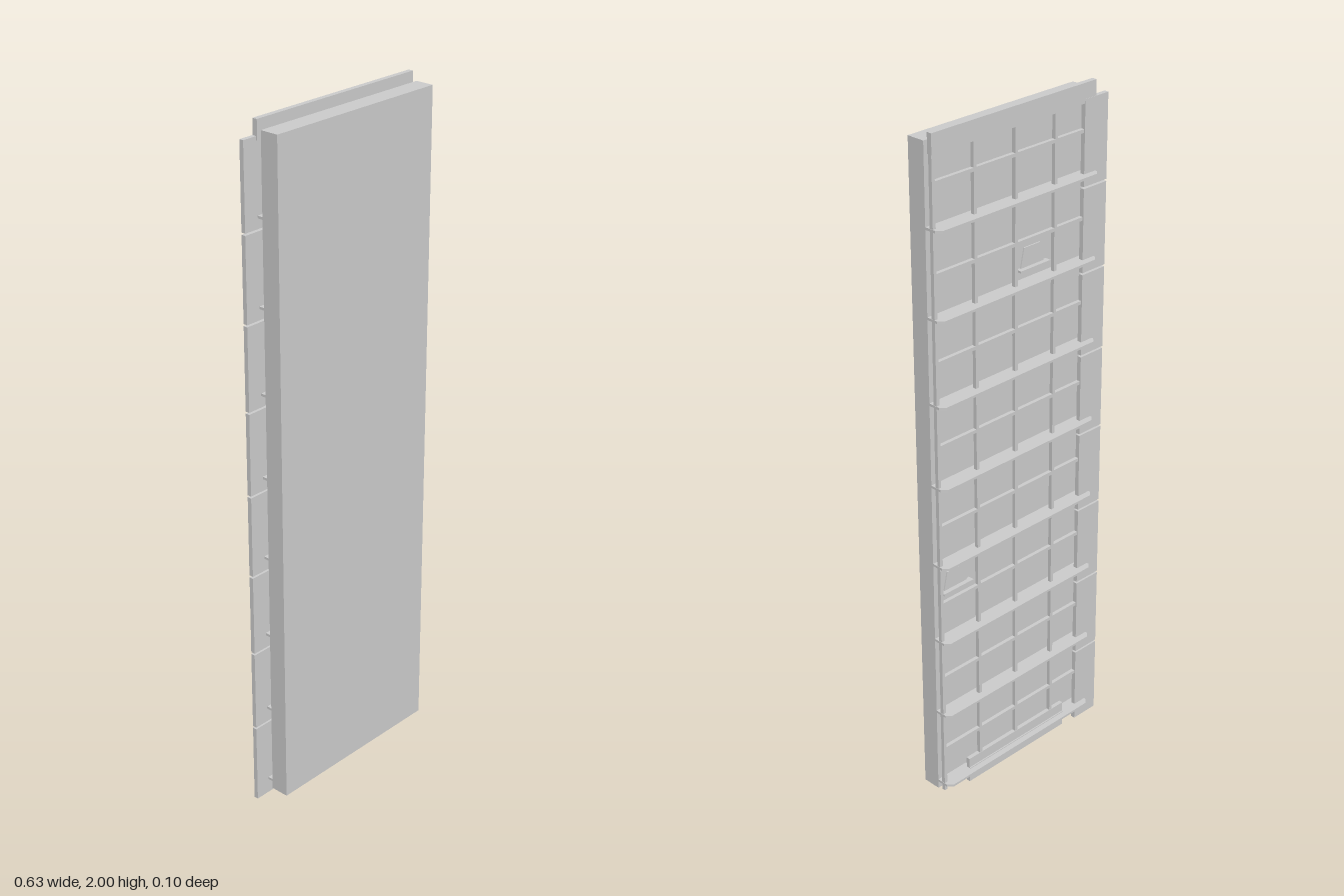
import * as THREE from 'three';

const material = new THREE.MeshStandardMaterial({ color: 0xcccccc });

function add(group, name, geometry) {
  const mesh = new THREE.Mesh(geometry, material);
  mesh.name = name;
  group.add(mesh);
  return mesh;
}

// Box given by its limits on each axis
function block(group, name, [x0, x1], [y0, y1], [z0, z1]) {
  const mesh = add(group, name, new THREE.BoxGeometry(x1 - x0, y1 - y0, z1 - z0));
  mesh.position.set((x0 + x1) / 2, (y0 + y1) / 2, (z0 + z1) / 2);
  return mesh;
}

function polygon(points) {
  return new THREE.Shape(points.map(([x, y]) => new THREE.Vector2(x, y)));
}

export function createModel() {
  const model = new THREE.Group();
  const left = 0.312, right = -0.27;
  const pitch = 0.2425;
  const ledgeY = (i) => 0.052 + i * pitch;

  // Main panel
  block(model, 'panel', [right, left], [0.025, 1.975], [-0.003, 0.052]);

  // Rail standing behind the top edge
  block(model, 'topRail', [right, left], [1.945, 2], [-0.031, -0.016]);

  // Side strip made of short boards with narrow gaps
  const boards = new THREE.Group();
  boards.name = 'sideStrip';
  model.add(boards);
  for (let i = 0; i < 8; i++) {
    const y = 0.004 + i * 0.2448;
    block(boards, 'sideBoard', [-0.315, -0.228], [y, y + 0.239], [-0.032, -0.019]);
  }

  // Grid of thin bars behind the panel
  const grid = new THREE.Group();
  grid.name = 'barGrid';
  model.add(grid);
  for (const x of [0.306, 0.165, 0.02, -0.125]) {
    block(grid, 'verticalBar', [x - 0.005, x + 0.005], [0.03, 1.95], [-0.029, -0.018]);
  }
  for (let i = 0; i < 8; i++) {
    const y = ledgeY(i) + pitch / 2;
    block(grid, 'horizontalBar', [-0.235, 0.306], [y - 0.005, y + 0.005], [-0.029, -0.018]);
  }

  // Thin ledges with clipped outer corners
  const plan = polygon([
    [right, 0.003], [left, 0.003], [left, 0.038], [left - 0.014, 0.052],
    [right + 0.014, 0.052], [right, 0.038],
  ]);
  const ledgeGeometry = new THREE.ExtrudeGeometry(plan, { depth: 0.007, bevelEnabled: false });
  ledgeGeometry.rotateX(-Math.PI / 2);
  for (let i = 0; i < 8; i++) {
    add(model, 'ledge', ledgeGeometry).position.y = ledgeY(i) - 0.0035;
  }
  // Plan depth runs to -z after the turn, so ledges reach behind the panel

  // Small brackets: tapered plate on a foot
  const plate = new THREE.ExtrudeGeometry(
    polygon([[-0.043, 0], [0.043, 0], [0.03, 0.058], [-0.03, 0.058]]),
    { depth: 0.004, bevelEnabled: false });
  for (const [x, y] of [[-0.06, 1.54], [0.235, 0.68]]) {
    const bracket = new THREE.Group();
    bracket.name = 'bracket';
    bracket.position.set(x, y, 0);
    model.add(bracket);
    add(bracket, 'bracketPlate', plate).position.z = -0.008;
    block(bracket, 'bracketFoot', [-0.055, 0.055], [-0.003, 0.003], [-0.021, -0.003]);
  }

  // Kick plate at the bottom with a raised middle rib
  block(model, 'bottomPlate', [-0.175, 0.213], [0.008, 0.088], [-0.03, -0.018]);
  block(model, 'bottomRib', [-0.175, 0.213], [0.046, 0.058], [-0.034, -0.03]);

  return model;
}
